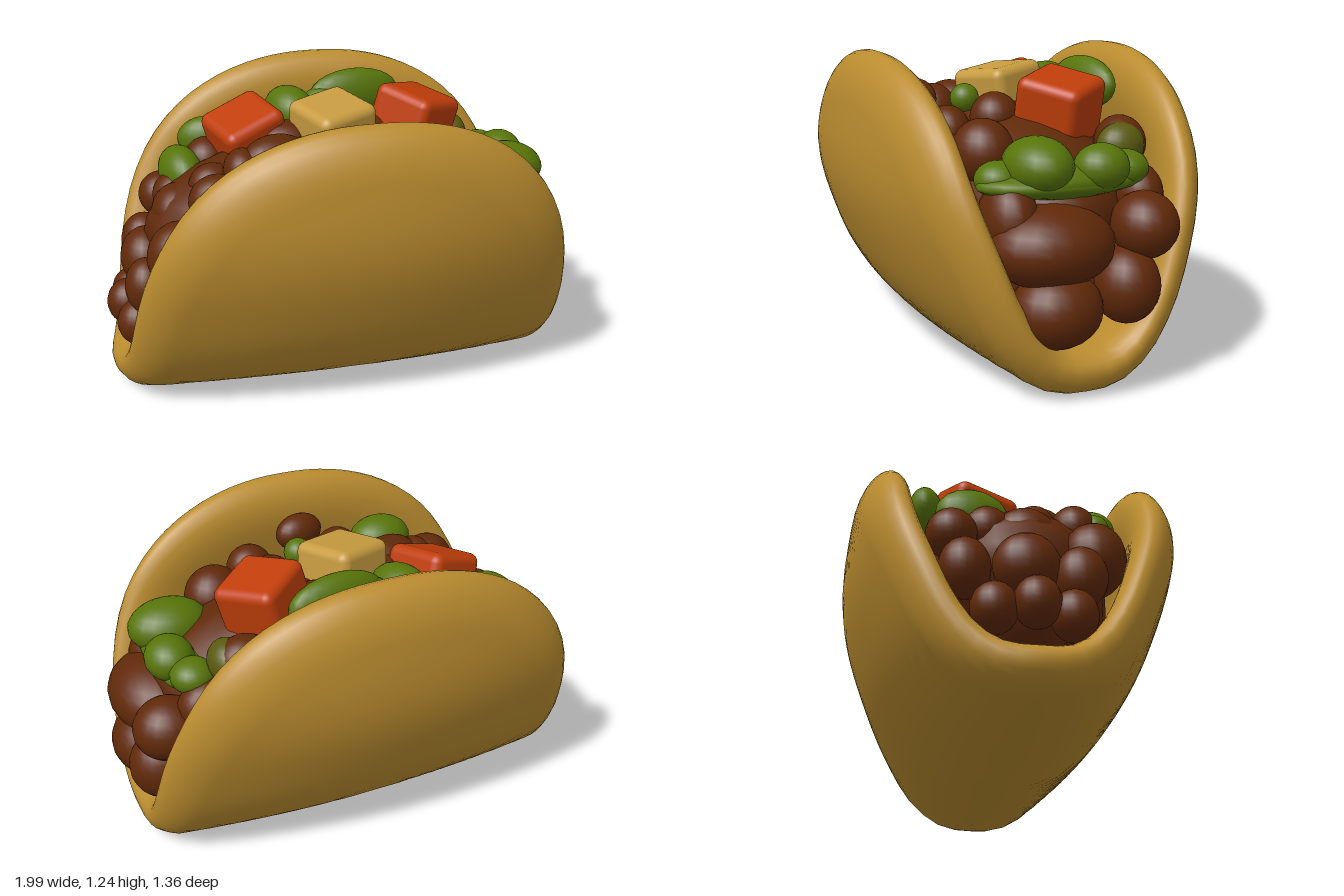
import * as THREE from 'three';
import { mergeVertices } from 'three/addons/utils/BufferGeometryUtils.js';
import { RoundedBoxGeometry } from 'three/addons/geometries/RoundedBoxGeometry.js';

const material = (name, color) => {
  const m = new THREE.MeshStandardMaterial({ color });
  m.name = name;
  return m;
};

// A thick round disc with a soft rim, folded along a U-shaped curve
function shellGeometry() {
  const radii = [];
  for (let i = 0; i <= 17; i++) radii.push(i * 0.05);
  radii.push(0.88, 0.91, 0.94, 0.965, 0.985, 0.996, 1);
  const half = (r) => 0.104 * Math.sqrt(Math.max(0, 1 - Math.max(0, (r - 0.86) / 0.14) ** 2));
  // The inside is hollowed a little behind the rim
  const hollow = (r) => 0.82 + 0.18 * THREE.MathUtils.smoothstep(r, 0.68, 0.82);
  const profile = radii.map((r) => new THREE.Vector2(r, -half(r)));
  for (const r of radii.slice(0, -1).reverse()) profile.push(new THREE.Vector2(r, half(r) * hollow(r)));

  let geo = new THREE.LatheGeometry(profile, 96);
  geo.deleteAttribute('uv');
  geo.deleteAttribute('normal');
  geo = mergeVertices(geo, 1e-5);

  // Fold from the back rim, under the bottom, to the front rim (z, y)
  const front = [
    [0.16, 0.12], [0.3, 0.2], [0.42, 0.35], [0.5, 0.52],
    [0.555, 0.68], [0.574, 0.82], [0.562, 1], [0.545, 1.13], [0.53, 1.24],
  ];
  const back = front.map(([z, y]) => [-z, y]).reverse();
  const fold = new THREE.CatmullRomCurve3(
    [...back, [0, 0.104], ...front].map(([z, y]) => new THREE.Vector3(0, y, z)));
  fold.arcLengthDivisions = 1000;

  const pos = geo.attributes.position;
  for (let i = 0; i < pos.count; i++) {
    const a = pos.getX(i), b = pos.getZ(i);
    // Square the circle slightly, more towards the ends
    const r = Math.max(1e-6, Math.hypot(a, b));
    const n = 2.4 + 0.7 * (a / r) ** 2;
    const k = r / Math.max(1e-6, (Math.abs(a) ** n + Math.abs(b) ** n) ** (1 / n));
    const u = a * k, v = THREE.MathUtils.clamp(b * k, -1, 1);
    const p = fold.getPointAt((v + 1) / 2);
    const t = fold.getTangentAt((v + 1) / 2);
    // The inner side of the rim is fuller at the top than at the bottom
    let h = pos.getY(i);
    if (h > 0) h *= 0.8 + 0.35 * v * v;
    let x = 0.937 * u + 0.02 * v * v;
    if (u < 0) x += 0.06 * u * Math.exp(-((v / 0.2) ** 2));
    // The two sides draw together towards the ends
    const pinch = 1 - (u > 0 ? 0.28 : 0.21) * u * u;
    pos.setXYZ(i, x, p.y + t.z * h, (p.z - t.y * h) * pinch);
  }
  geo.computeVertexNormals();
  return geo;
}

export function createModel() {
  const group = new THREE.Group();
  const shellMat = material('golden shell', 0xba8c2f);
  const meatMat = material('brown filling', 0x602909);
  const greenMat = material('leaf green', 0x577409);
  const oliveMat = material('olive green', 0x5a5a10);
  const redMat = material('tomato red', 0xc03e0a);
  const cheeseMat = material('pale cheese', 0xc79b40);

  const add = (name, geo, mat, x = 0, y = 0, z = 0) => {
    const mesh = new THREE.Mesh(geo, mat);
    mesh.name = name;
    mesh.position.set(x, y, z);
    group.add(mesh);
    return mesh;
  };
  const sphere = new THREE.SphereGeometry(1, 20, 14);
  // Rows are x, y, z, half sizes in x, y, z, and a turn about y
  const lumps = (name, mat, rows) => rows.forEach(([x, y, z, rx, ry, rz, turn = 0]) => {
    const m = add(name, sphere, mat, x, y, z);
    m.scale.set(rx, ry, rz);
    m.rotation.y = turn;
  });

  add('shell', shellGeometry(), shellMat);

  // Body of the filling
  lumps('fillingBase', meatMat, [
    [0, 0.65, 0, 0.83, 0.38, 0.44],
    [0, 0.4, 0, 0.87, 0.25, 0.24],
  ]);

  // Beans at the left end
  lumps('leftBean', meatMat, [
    [0.78, 0.57, 0.11, 0.2, 0.16, 0.25],
    [0.84, 0.63, -0.25, 0.14, 0.13, 0.13],
    [0.85, 0.41, -0.17, 0.14, 0.15, 0.13],
    [0.83, 0.34, 0.11, 0.16, 0.15, 0.18],
    [0.68, 0.72, -0.3, 0.13, 0.12, 0.1],
    [0.7, 0.66, 0.25, 0.15, 0.16, 0.11],
  ]);

  // Beans at the right end
  lumps('rightBean', meatMat, [
    [-0.81, 0.52, -0.25, 0.1, 0.12, 0.1],
    [-0.72, 0.71, -0.29, 0.1, 0.1, 0.1],
    [-0.91, 0.35, 0, 0.09, 0.1, 0.09],
    [-0.82, 0.54, -0.02, 0.11, 0.13, 0.13],
    [-0.68, 0.74, 0, 0.11, 0.12, 0.13],
    [-0.84, 0.5, 0.18, 0.09, 0.12, 0.1],
    [-0.7, 0.65, 0.26, 0.14, 0.15, 0.13],
    [-0.88, 0.33, -0.15, 0.09, 0.1, 0.09],
    [-0.88, 0.32, 0.14, 0.09, 0.1, 0.09],
    [-0.67, 0.76, -0.15, 0.1, 0.1, 0.1],
  ]);

  // Beans along the top
  lumps('topBean', meatMat, [
    [-0.54, 0.86, 0.06, 0.1, 0.1, 0.09],
    [-0.54, 0.86, 0.22, 0.12, 0.11, 0.1],
    [-0.52, 0.87, -0.24, 0.1, 0.1, 0.1],
    [-0.42, 0.94, 0.11, 0.08, 0.09, 0.1],
    [-0.28, 0.97, 0.09, 0.15, 0.1, 0.1, 0.3],
    [-0.11, 0.97, 0.24, 0.1, 0.11, 0.1],
    [0.02, 1.04, 0.36, 0.11, 0.08, 0.07, 0.2],
    [0.25, 0.98, 0.11, 0.1, 0.1, 0.1],
    [0.27, 0.94, 0.32, 0.1, 0.1, 0.09],
    [0.46, 0.88, 0.25, 0.13, 0.13, 0.12, 0.4],
    [-0.2, 0.98, -0.08, 0.13, 0.09, 0.1],
    [0.16, 0.97, -0.14, 0.13, 0.09, 0.11],
    [0.53, 0.89, -0.31, 0.12, 0.11, 0.1],
    [-0.25, 0.97, -0.36, 0.13, 0.09, 0.07],
  ]);

  // Lettuce draped over the left end
  lumps('leftLettuce', greenMat, [
    [0.7, 0.86, 0.13, 0.17, 0.11, 0.13],
    [0.77, 0.85, -0.1, 0.1, 0.09, 0.11],
    [0.72, 0.83, -0.23, 0.09, 0.07, 0.09],
    [0.65, 0.81, 0.27, 0.09, 0.07, 0.09],
    [0.68, 0.79, 0.02, 0.16, 0.06, 0.35],
    [0.72, 0.8, 0.02, 0.12, 0.07, 0.26],
  ]);
  lumps('leafTip', oliveMat, [[0.59, 0.89, -0.28, 0.08, 0.09, 0.1]]);

  // Lettuce scraps on top
  lumps('topLettuce', greenMat, [
    [-0.14, 1.05, -0.3, 0.1, 0.1, 0.14, 0.3],
    [0.03, 1.04, -0.31, 0.13, 0.1, 0.08],
    [0.16, 1.09, -0.34, 0.21, 0.11, 0.07, 0.12],
    [-0.5, 0.92, -0.37, 0.13, 0.1, 0.07, -0.2],
    [-0.64, 0.84, -0.2, 0.09, 0.11, 0.15, 0.2],
    [-0.36, 0.95, 0.33, 0.14, 0.1, 0.11],
    [0.1, 1.04, 0.18, 0.06, 0.06, 0.06],
    [-0.58, 0.86, 0.3, 0.06, 0.06, 0.06],
  ]);

  // Diced tomato and cheese
  const cube = new RoundedBoxGeometry(0.28, 0.26, 0.28, 3, 0.04);
  [
    ['tomatoCube', redMat, 0.37, 1.02, -0.12, 0.2, 0.62, -0.32],
    ['tomatoCube', redMat, -0.35, 0.98, -0.17, 0.15, 0.35, 0.28],
    ['cheeseCube', cheeseMat, -0.01, 1.03, -0.03, 0.12, 0.42, 0.05],
  ].forEach(([name, mat, x, y, z, rx, ry, rz]) => {
    add(name, cube, mat, x, y, z).rotation.set(rx, ry, rz);
  });

  return group;
}
